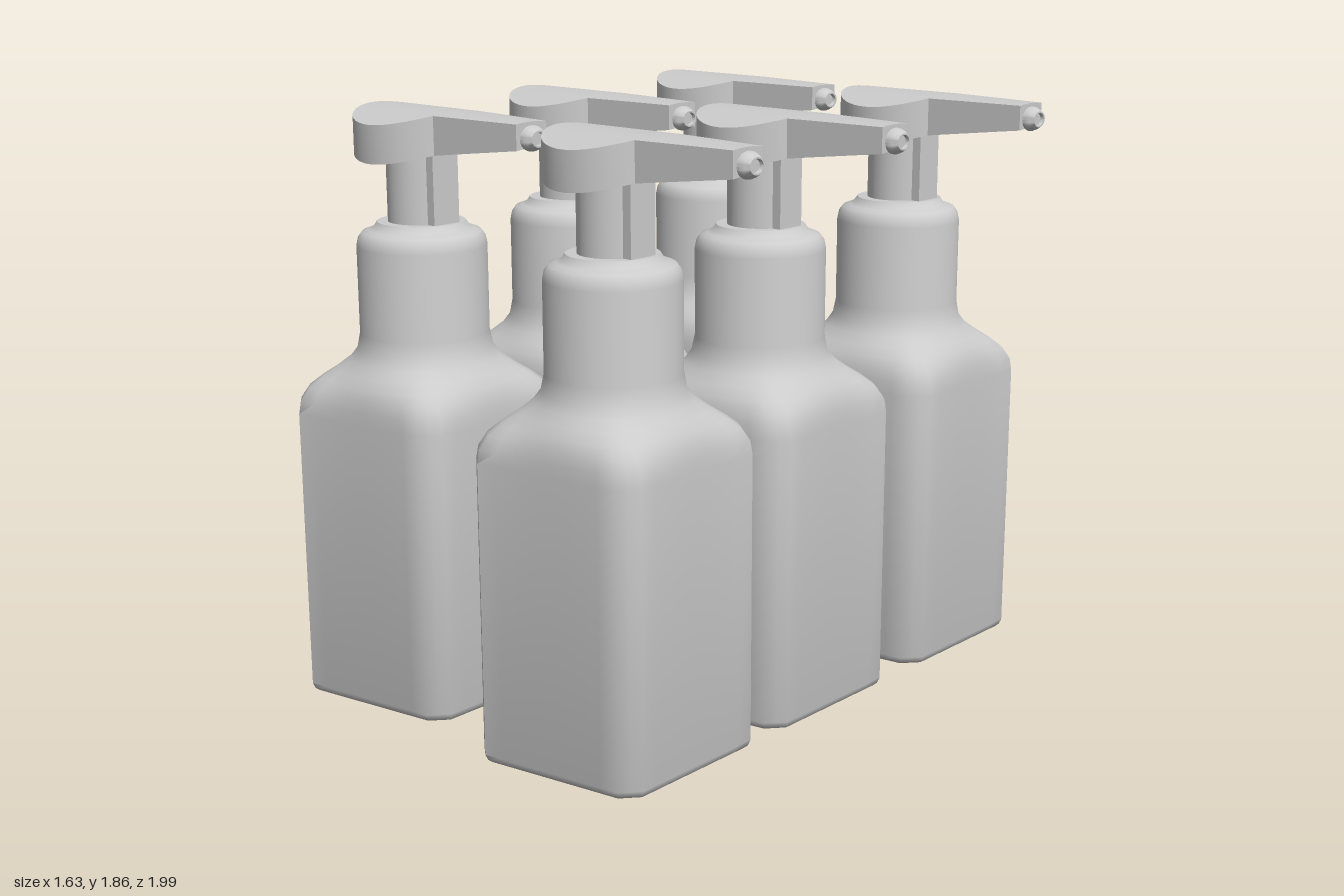
import * as THREE from 'three';
import { toCreasedNormals } from 'three/addons/utils/BufferGeometryUtils.js';

const mat = new THREE.MeshStandardMaterial({ color: 0xcccccc });

// Skin a list of closed rings (equal point counts) into a surface
function loft(rings, crease) {
  const n = rings[0].length, index = [];
  for (let i = 0; i < rings.length - 1; i++) {
    for (let j = 0; j < n; j++) {
      const k = (j + 1) % n;
      const a = i * n + j, b = i * n + k, c = a + n, d = b + n;
      index.push(a, c, b, b, c, d);
    }
  }
  const g = new THREE.BufferGeometry();
  g.setAttribute('position', new THREE.Float32BufferAttribute(rings.flat(2), 3));
  g.setIndex(index);
  return toCreasedNormals(g, crease);
}

// Bottle: skewed chamfered square that blends into a round collar
function bottleGeometry() {
  const half = 0.2825, flat = 0.235, skew = 0.16;
  const edge = Math.atan2(flat, half), angles = [];
  for (let q = 0; q < 4; q++) {
    for (let i = 0; i <= 10; i++) angles.push(q * Math.PI / 2 - edge + 2 * edge * i / 10);
    angles.push(q * Math.PI / 2 + Math.PI / 4);
  }
  const square = (a) => {
    const c = Math.cos(a), s = Math.sin(a), u = Math.abs(c), v = Math.abs(s);
    const r = 1 / Math.max(u / half, v / half, (u + v) / (half + flat));
    return [c * r, s * r - skew * c * r];
  };
  // height, square scale, circle radius, roundness
  const levels = [
    [0, 0, 0, 0], [0, 0.95, 0, 0], [0.008, 0.98, 0, 0], [0.025, 1, 0, 0], [0.92, 1, 0.28, 0],
    [0.96, 1, 0.28, 0.06], [1.0, 0.99, 0.272, 0.25], [1.03, 0.97, 0.26, 0.5], [1.06, 0.93, 0.243, 0.75],
    [1.09, 0.9, 0.224, 0.93], [1.12, 0.9, 0.21, 1], [1.17, 1, 0.2, 1], [1.44, 1, 0.2, 1],
    [1.465, 1, 0.195, 1], [1.483, 1, 0.182, 1], [1.49, 1, 0.162, 1], [1.497, 1, 0.147, 1],
    [1.515, 1, 0.135, 1], [1.515, 1, 0, 1],
  ];
  return loft(levels.map(([y, s, r, round]) => angles.map((a) => {
    const [x, z] = square(a);
    return [
      THREE.MathUtils.lerp(x * s, Math.cos(a) * r, round), y,
      THREE.MathUtils.lerp(z * s, Math.sin(a) * r, round),
    ];
  })), 0.85);
}

// Pump head: round hollow cap running into a tapering spout, arched across z
function headGeometry() {
  const R = 0.195, wall = 0.016, N = 12, stations = [];
  const end = Math.acos(0.173 / R);
  for (let i = 0; i <= 20; i++) {
    const a = Math.PI + (end - Math.PI) * i / 20;
    stations.push({
      x: R * Math.cos(a), w: R * Math.sin(a),
      xi: (R - wall) * Math.cos(a), wi: (R - wall) * Math.sin(a), low: 1.745, top: 1.862, roof: 1.835,
    });
  }
  for (const t of [0.25, 0.5, 0.75, 0.92, 1]) {
    const x = 0.173 + 0.322 * t, w = 0.09 - 0.03 * t, low = 1.745 + 0.035 * t;
    stations.push({ x, w, xi: x, wi: w - wall, low, top: 1.862 - 0.006 * t, roof: t === 1 ? low : 1.835 });
  }
  const rings = stations.map(({ x, w, xi, wi, low, top, roof }) => {
    const ring = [[x, low - w * w, w]];
    for (let i = 0; i <= N; i++) {
      const z = w * (1 - 2 * i / N);
      ring.push([x, top - z * z, z]);
    }
    ring.push([x, low - w * w, -w], [xi, low - wi * wi, -wi]);
    for (let i = 0; i <= N; i++) {
      const z = -wi * (1 - 2 * i / N);
      ring.push([xi, roof - z * z, z]);
    }
    ring.push([xi, low - wi * wi, wi]);
    return ring;
  });
  // Close the spout end
  rings.push(rings[0].map(() => [0.495, 1.81, 0]));
  return loft(rings, 0.5);
}

// Nozzle: short oval mouth with a recessed opening, pointing along +x
function nozzleGeometry() {
  const profile = [[0.046, 0], [0.046, 0.008], [0.04, 0.02], [0.03, 0.033], [0.024, 0.033], [0.022, 0.022], [0, 0.022]];
  const g = new THREE.LatheGeometry(profile.map(([r, y]) => new THREE.Vector2(r, y)), 24);
  g.rotateZ(-Math.PI / 2);
  g.scale(1, 0.82, 1);
  return toCreasedNormals(g, 0.6);
}

export function createModel() {
  const model = new THREE.Group();
  model.name = 'pumpBottles';

  const neck = new THREE.CylinderGeometry(0.102, 0.102, 0.33, 32);
  neck.translate(0, 1.675, 0);
  const rib = new THREE.BoxGeometry(0.06, 0.33, 0.1);
  rib.translate(0.088, 1.675, 0);
  const nozzle = nozzleGeometry();
  nozzle.translate(0.495, 1.808, 0);

  const parts = {
    bottle: bottleGeometry(),
    pumpNeck: neck,
    neckRib: rib,
    pumpHead: headGeometry(),
    nozzle,
  };

  // Two columns of three bottles
  for (const x of [-0.53, 0.285]) {
    for (const z of [-0.68, 0.027, 0.673]) {
      const unit = new THREE.Group();
      unit.name = 'pumpBottle';
      for (const [name, geometry] of Object.entries(parts)) {
        const mesh = new THREE.Mesh(geometry, mat);
        mesh.name = name;
        unit.add(mesh);
      }
      unit.position.set(x, 0, z);
      model.add(unit);
    }
  }
  return model;
}
